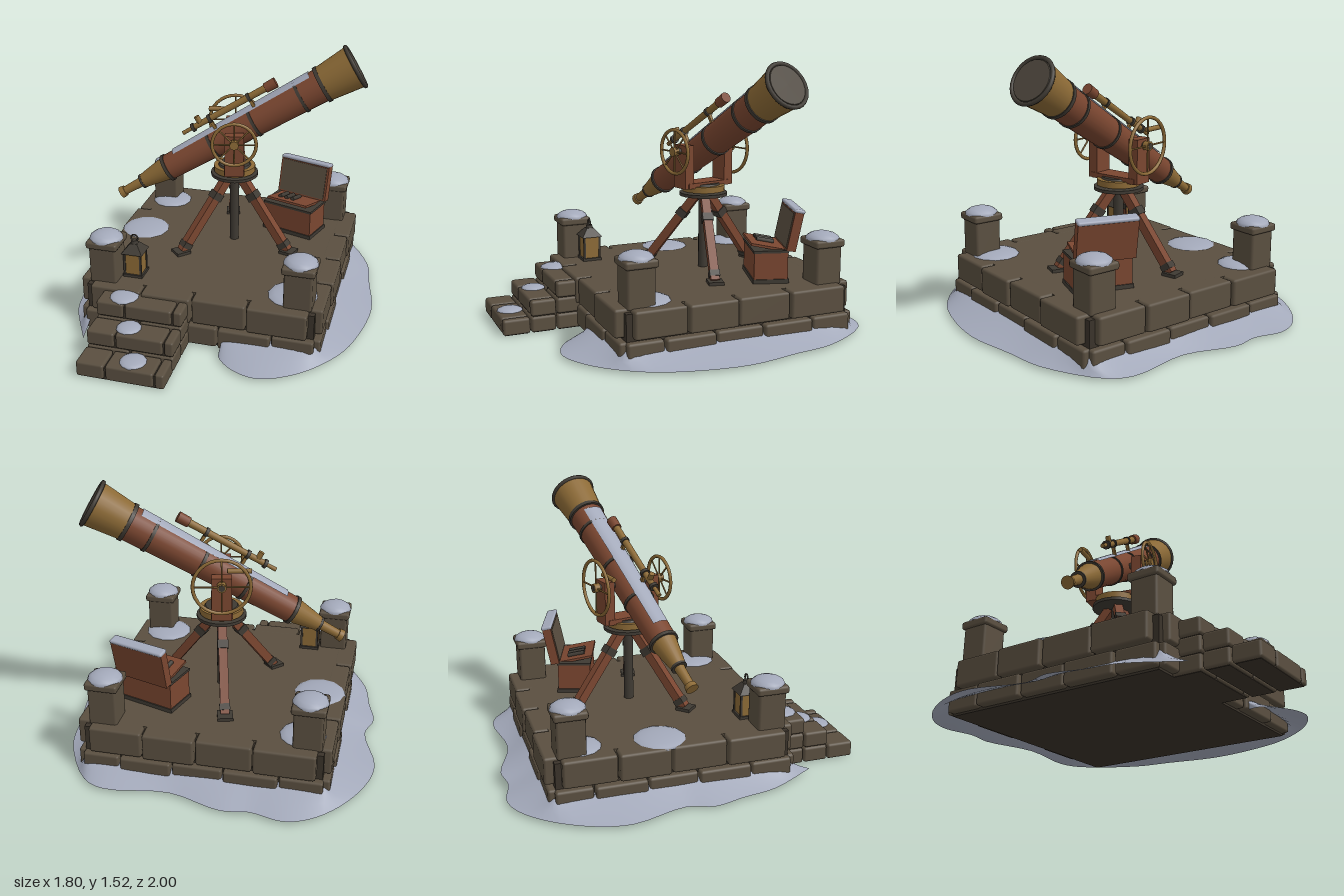
import * as THREE from 'three';
import { RoundedBoxGeometry } from 'three/addons/geometries/RoundedBoxGeometry.js';

const mat = (name, color, side = THREE.FrontSide) => {
  const m = new THREE.MeshStandardMaterial({ color, side });
  m.name = name;
  return m;
};

export function createModel() {
  const stone = mat('stone', 0x5a4f40), mortar = mat('mortar', 0x3a332a);
  const wood = mat('wood', 0x7a4630), brass = mat('brass', 0x8c6a36);
  const iron = mat('iron', 0x3f3a33), glass = mat('glass', 0x4c453b);
  const snow = mat('snow', 0xa3a9ba, THREE.DoubleSide);
  const model = new THREE.Group();

  const add = (parent, name, geo, material, x = 0, y = 0, z = 0) => {
    const m = new THREE.Mesh(geo, material);
    m.name = name;
    m.position.set(x, y, z);
    parent.add(m);
    return m;
  };
  const group = (parent, name, x = 0, y = 0, z = 0) => {
    const g = new THREE.Group();
    g.name = name;
    g.position.set(x, y, z);
    parent.add(g);
    return g;
  };
  const box = (p, name, m, w, h, d, x, y, z) => add(p, name, new THREE.BoxGeometry(w, h, d), m, x, y, z);
  const block = (p, name, w, h, d, x, y, z) =>
    add(p, name, new RoundedBoxGeometry(w, h, d, 1, 0.014), stone, x, y, z);
  const cyl = (p, name, m, rTop, rBottom, h, x, y, z, n = 24) =>
    add(p, name, new THREE.CylinderGeometry(rTop, rBottom, h, n), m, x, y, z);
  // cylinder lying along x, from x0 (radius r0) to x1 (radius r1)
  const along = (p, name, m, x0, x1, r0, r1, y = 0, z = 0, n = 24) => {
    const c = cyl(p, name, m, r1, r0, x1 - x0, (x0 + x1) / 2, y, z, n);
    c.rotation.z = -Math.PI / 2;
    return c;
  };
  const mound = (p, name, r, h, x, y, z) => {
    const m = add(p, name, new THREE.SphereGeometry(1, 12, 4, 0, Math.PI * 2, 0, Math.PI / 2), snow, x, y, z);
    m.scale.set(r, h, r);
  };

  // Platform: a core with two staggered courses of stones on each side
  const platform = group(model, 'platform', 0, 0, -0.12);
  box(platform, 'core', mortar, 1.3, 0.28, 1.3, 0, 0.14, 0);
  box(platform, 'floor', stone, 1.22, 0.02, 1.22, 0, 0.287, 0);
  for (let side = 0; side < 4; side++) {
    const wall = group(platform, 'wall');
    wall.rotation.y = side * Math.PI / 2;
    for (let c = 0; c < 2; c++) {
      const cuts = c ? [-0.62, -0.32, -0.03, 0.28, 0.62] : [-0.66, -0.45, -0.16, 0.12, 0.42, 0.66];
      for (let i = 0; i < cuts.length - 1; i++) {
        const w = cuts[i + 1] - cuts[i];
        const out = 0.69 + (i % 2) * 0.01;
        block(wall, 'wallStone', w - 0.008, c ? 0.152 : 0.122, 0.11, cuts[i] + w / 2, c ? 0.222 : 0.073, out - 0.055);
      }
    }
  }

  // Stairs
  const stairs = group(model, 'stairs');
  const rows = [[0.48, 0.69, 3], [0.69, 0.84, 2], [0.84, 1, 1]];
  rows.forEach(([z0, z1, n], k) => {
    box(stairs, 'stepCore', mortar, 0.46, n * 0.093 - 0.02, z1 - z0 - 0.03, -0.29, n * 0.0465 - 0.01, (z0 + z1) / 2);
    for (let c = 0; c < n; c++) {
      const cuts = (c + k) % 2 ? [-0.54, -0.29, -0.04] : [-0.54, -0.375, -0.1, -0.04];
      for (let i = 0; i < cuts.length - 1; i++)
        block(stairs, 'stepStone', cuts[i + 1] - cuts[i] - 0.008, 0.09, z1 - z0 - 0.006,
          (cuts[i] + cuts[i + 1]) / 2, 0.047 + c * 0.093, (z0 + z1) / 2);
    }
  });
  mound(stairs, 'stepSnow', 0.083, 0.022, -0.4, 0.275, 0.6);
  mound(stairs, 'stepSnow', 0.07, 0.022, -0.32, 0.183, 0.755);
  mound(stairs, 'stepSnow', 0.075, 0.022, -0.24, 0.09, 0.915);

  // Corner pillars with snow caps
  for (const x of [-0.56, 0.55]) for (const z of [-0.675, 0.435]) {
    const p = group(model, 'pillar', x, 0, z);
    block(p, 'pillarBody', 0.158, 0.23, 0.158, 0, 0.4, 0);
    block(p, 'pillarCap', 0.184, 0.045, 0.184, 0, 0.522, 0);
    mound(p, 'pillarSnow', 0.097, 0.045, 0, 0.537, 0);
  }
  mound(model, 'floorSnow', 0.15, 0.03, -0.55, 0.29, -0.18);
  mound(model, 'floorSnow', 0.13, 0.035, -0.52, 0.29, -0.62);
  mound(model, 'floorSnow', 0.145, 0.035, 0.5, 0.29, 0.37);

  // Snow drift: rings running from the walls out to an uneven edge
  const edge = new THREE.CatmullRomCurve3([[-0.63, 0.68], [-0.78, 0.4], [-0.82, 0.2], [-0.86, 0.03], [-0.82, -0.12],
    [-0.9, -0.42], [-0.87, -0.6], [-0.75, -0.82], [-0.6, -0.96], [-0.47, -1], [-0.3, -0.965], [-0.15, -0.985],
    [0.15, -0.9], [0.5, -0.94], [0.63, -0.88], [0.81, -0.58], [0.85, -0.35], [0.9, -0.05], [0.86, 0.25],
    [0.78, 0.47], [0.6, 0.69], [0.4, 0.79], [0.25, 0.75], [0.15, 0.65], [0.15, 0.58]]
    .map(([x, z]) => new THREE.Vector3(x, 0.015, z))).getPoints(96);
  const pos = [], idx = [], heights = [0.09, 0.045, 0.015];
  edge.forEach((e, i) => {
    const x = THREE.MathUtils.clamp(e.x, -0.66, 0.66), z = THREE.MathUtils.clamp(e.z, -0.78, 0.54);
    heights.forEach((h, j) => pos.push(x + (e.x - x) * j / 2, h, z + (e.z - z) * j / 2));
    if (i) for (let j = 0; j < 2; j++) {
      const a = (i - 1) * 3 + j, b = a + 3;
      idx.push(a, b, a + 1, b, b + 1, a + 1);
    }
  });
  const drift = new THREE.BufferGeometry();
  drift.setAttribute('position', new THREE.Float32BufferAttribute(pos, 3));
  // upward-facing winding
  for (let i = 0; i < idx.length; i += 3) [idx[i + 1], idx[i + 2]] = [idx[i + 2], idx[i + 1]];
  drift.setIndex(idx);
  drift.computeVertexNormals();
  if (drift.attributes.normal.getY(40) < 0) {
    drift.setIndex(idx.reverse());
    drift.computeVertexNormals();
  }
  add(model, 'snowDrift', drift, snow);

  // Tripod
  const tripod = group(model, 'tripod', 0.02, 0, -0.19);
  cyl(tripod, 'centrePost', iron, 0.028, 0.028, 0.44, 0, 0.52, 0, 12);
  cyl(tripod, 'basePlate', iron, 0.14, 0.14, 0.018, 0, 0.74, 0);
  cyl(tripod, 'turntable', brass, 0.123, 0.123, 0.035, 0, 0.775, 0);
  cyl(tripod, 'turntableTop', iron, 0.09, 0.1, 0.015, 0, 0.795, 0);
  for (let k = 0; k < 3; k++) {
    const leg = group(tripod, 'leg');
    leg.rotation.y = (-14.5 + 120 * k) * Math.PI / 180;
    box(leg, 'footPlate', iron, 0.085, 0.02, 0.085, 0.37, 0.305, 0);
    const beam = group(leg, 'legBeam', 0.2, 0.52, 0);
    beam.rotation.z = Math.atan2(0.32, 0.42);
    box(beam, 'legWood', wood, 0.05, 0.53, 0.05, 0, 0, 0);
    box(beam, 'legShoe', iron, 0.058, 0.035, 0.058, 0, -0.225, 0);
    box(beam, 'legClamp', iron, 0.062, 0.045, 0.062, 0, 0.12, 0);
  }

  // Mount: yoke, axle and hand wheels
  const mount = group(model, 'mount', 0.02, 1, -0.19);
  mount.rotation.y = 13.4 * Math.PI / 180;
  box(mount, 'yokeBase', wood, 0.12, 0.03, 0.3, 0, -0.2, 0);
  for (const s of [-1, 1]) box(mount, 'yokeArm', wood, 0.11, 0.25, 0.06, 0, -0.09, s * 0.142);
  const axle = cyl(mount, 'axle', iron, 0.018, 0.018, 0.44, 0, 0, 0, 12);
  axle.rotation.x = Math.PI / 2;
  for (const [z, r, n] of [[0.21, 0.125, 8], [-0.2, 0.155, 4]]) {
    const wheel = group(mount, 'handWheel', 0, 0, z);
    add(wheel, 'wheelRim', new THREE.TorusGeometry(r, 0.01, 8, 32), brass);
    for (let i = 0; i < n; i++) {
      const a = i / n * Math.PI * 2;
      cyl(wheel, 'spoke', brass, 0.005, 0.005, r, -Math.sin(a) * r / 2, Math.cos(a) * r / 2, 0, 6).rotation.z = a;
    }
    cyl(wheel, 'wheelHub', brass, 0.026, 0.026, 0.035, 0, 0, 0, 12).rotation.x = Math.PI / 2;
  }
  along(mount, 'wormScrew', brass, -0.16, -0.03, 0.014, 0.014, 0.08, -0.17, 10);

  // Telescope, its tube lying along local x
  const scope = group(model, 'telescope', 0.02, 1, -0.19);
  scope.rotation.set(0, 13.4 * Math.PI / 180, 30.6 * Math.PI / 180, 'YZX');
  along(scope, 'eyepieceCup', brass, -0.795, -0.765, 0.036, 0.032);
  along(scope, 'drawTube', brass, -0.765, -0.63, 0.025, 0.03);
  along(scope, 'tailCone', brass, -0.64, -0.46, 0.042, 0.074);
  along(scope, 'mainTube', wood, -0.46, 0.59, 0.077, 0.1);
  along(scope, 'lensHousing', brass, 0.585, 0.79, 0.105, 0.127);
  for (const [s, r, w] of [[-0.64, 0.045, 0.014], [-0.46, 0.084, 0.02], [-0.15, 0.09, 0.018], [0.13, 0.096, 0.018],
    [0.44, 0.103, 0.018], [0.58, 0.111, 0.022]])
    along(scope, 'tubeBand', iron, s - w / 2, s + w / 2, r, r);
  add(scope, 'lensRim', new THREE.TorusGeometry(0.126, 0.012, 8, 28), iron, 0.79).rotation.y = Math.PI / 2;
  along(scope, 'lens', glass, 0.785, 0.798, 0.118, 0.112);
  const strip = add(scope, 'tubeSnow',
    new THREE.CylinderGeometry(0.105, 0.086, 0.92, 8, 1, true, Math.PI * 1.5 - 0.55, 1.1), snow, 0.08);
  strip.rotation.z = -Math.PI / 2;

  // Finder scope
  const finder = group(scope, 'finderScope', 0.05, 0.152, 0.03);
  along(finder, 'finderTube', brass, -0.24, 0.25, 0.017, 0.021, 0, 0, 14);
  along(finder, 'finderEyepiece', brass, -0.31, -0.24, 0.013, 0.011, 0, 0, 12);
  along(finder, 'finderHood', wood, 0.24, 0.31, 0.029, 0.031, 0, 0, 14);
  for (const s of [-0.24, -0.13, 0.13]) along(finder, 'finderBand', iron, s - 0.009, s + 0.009, 0.026, 0.026, 0, 0, 14);
  for (const s of [-0.13, 0.13]) box(finder, 'finderBracket', brass, 0.018, 0.07, 0.018, s, -0.045, 0);
  cyl(finder, 'finderKnob', brass, 0.016, 0.016, 0.05, -0.19, 0.025, 0, 10);

  // Open chest with a tray of eyepieces
  const chest = group(model, 'chest', 0.345, 0.29, -0.43);
  chest.rotation.y = -17.5 * Math.PI / 180;
  box(chest, 'chestBody', wood, 0.32, 0.18, 0.19, 0, 0.1, 0);
  box(chest, 'chestBase', iron, 0.332, 0.025, 0.202, 0, 0.018, 0);
  box(chest, 'chestEdge', iron, 0.328, 0.014, 0.198, 0, 0.186, 0);
  const tray = group(chest, 'tray', 0, 0.205, 0.01);
  tray.rotation.x = -0.2;
  box(tray, 'trayBoard', wood, 0.27, 0.014, 0.2, 0, 0, 0);
  for (let i = -1; i < 2; i++)
    cyl(tray, 'spareEyepiece', iron, 0.013, 0.013, 0.1, -0.03 + i * 0.042, 0.014, 0, 10).rotation.x = Math.PI / 2;
  const lid = group(chest, 'chestLid', 0, 0.19, -0.1);
  lid.rotation.x = -0.2;
  box(lid, 'lidPanel', wood, 0.33, 0.22, 0.05, 0, 0.11, -0.01);
  box(lid, 'lidLining', stone, 0.305, 0.2, 0.008, 0, 0.11, 0.016);
  add(lid, 'lidSnow', new RoundedBoxGeometry(0.335, 0.022, 0.062, 2, 0.01), snow, 0, 0.226, -0.01);

  // Lantern
  const lantern = group(model, 'lantern', -0.417, 0.295, 0.37);
  box(lantern, 'lanternBody', brass, 0.094, 0.14, 0.094, 0, 0.08, 0);
  box(lantern, 'lanternBase', iron, 0.115, 0.018, 0.115, 0, 0.009, 0);
  for (const x of [-1, 1]) for (const z of [-1, 1])
    box(lantern, 'lanternPost', iron, 0.012, 0.14, 0.012, x * 0.047, 0.08, z * 0.047);
  const roof = new THREE.CylinderGeometry(0.03, 0.088, 0.05, 4, 1).toNonIndexed();
  roof.computeVertexNormals();
  add(lantern, 'lanternRoof', roof, iron, 0, 0.172, 0).rotation.y = Math.PI / 4;
  cyl(lantern, 'lanternChimney', iron, 0.018, 0.022, 0.02, 0, 0.205, 0, 10);
  add(lantern, 'lanternRing', new THREE.TorusGeometry(0.02, 0.005, 6, 16), iron, 0, 0.228, 0);

  return model;
}
